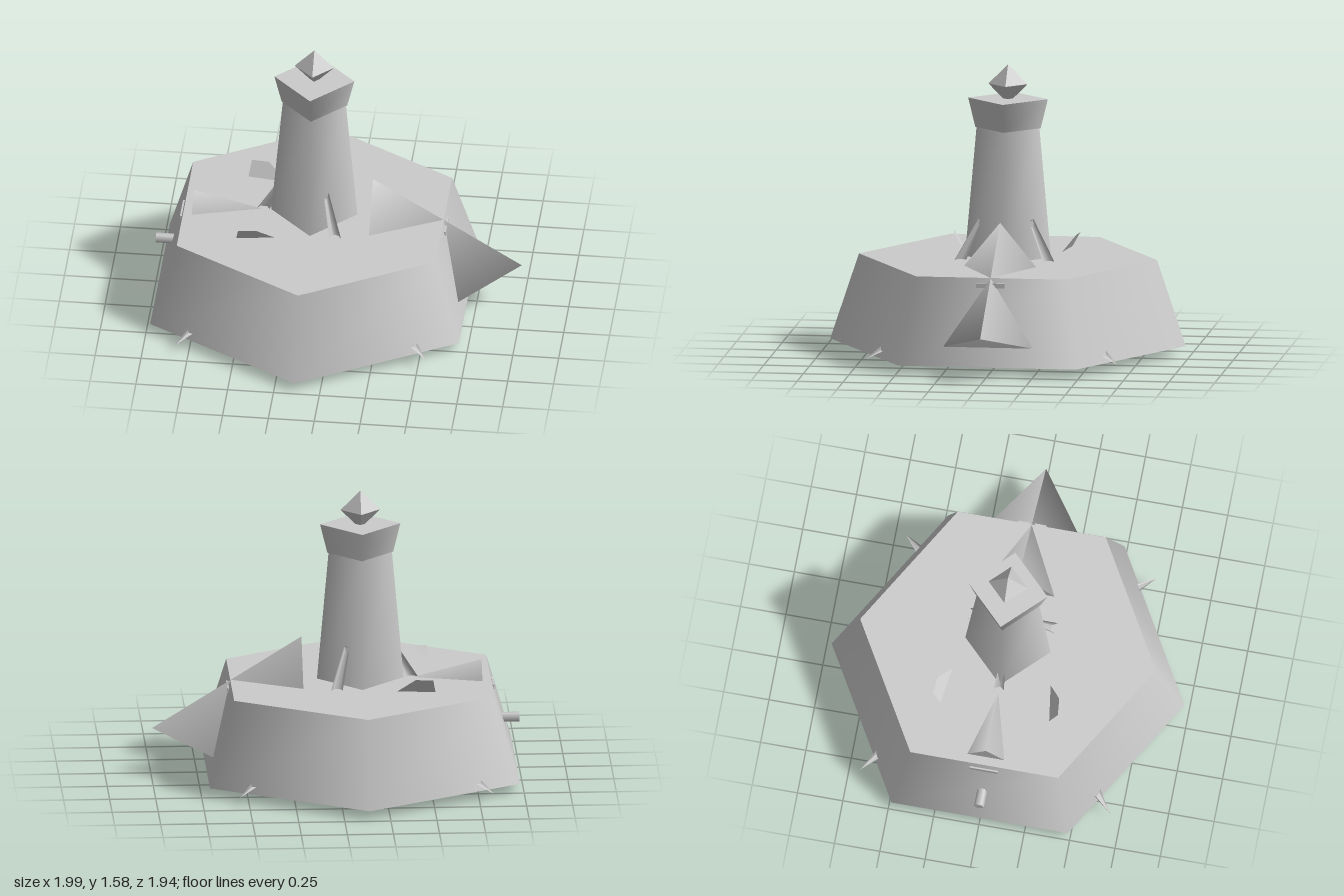
import * as THREE from 'three';

const CX = -0.137; // axis shared by the hull and the tower

export function createModel() {
  const group = new THREE.Group();
  const stone = new THREE.MeshStandardMaterial({ color: 0xcccccc });
  stone.name = 'paleStone';
  const stoneSheet = new THREE.MeshStandardMaterial({ color: 0xcccccc, side: THREE.DoubleSide });
  stoneSheet.name = 'paleStoneSheet';

  const add = (name, geometry, x = 0, y = 0, z = 0, material = stone) => {
    const mesh = new THREE.Mesh(geometry, material);
    mesh.name = name;
    mesh.position.set(x, y, z);
    group.add(mesh);
    return mesh;
  };

  // Tapered rod from point a (radius ra) to point b (radius rb)
  const rod = (name, a, b, ra, rb, sides, flatten = 1) => {
    const dir = b.clone().sub(a);
    const geometry = new THREE.CylinderGeometry(rb, ra, dir.length(), sides);
    const up = dir.clone().normalize();
    const side = new THREE.Vector3().crossVectors(new THREE.Vector3(0, 1, 0), up).normalize();
    const thick = new THREE.Vector3().crossVectors(side, up);
    geometry.scale(1, 1, flatten);
    geometry.applyMatrix4(new THREE.Matrix4().makeBasis(side, up, thick.negate().multiplyScalar(-1).negate()));
    const mid = a.clone().add(b).multiplyScalar(0.5);
    return add(name, geometry, mid.x, mid.y, mid.z);
  };
  const polar = (angle, r, y) =>
    new THREE.Vector3(CX + r * Math.cos(angle), y, r * Math.sin(angle));

  // Six-sided hull
  add('hull', new THREE.CylinderGeometry(0.815, 0.972, 0.47, 6), CX, 0.285, 0);

  // Four-sided tower with flared collar and crystal
  add('tower', new THREE.CylinderGeometry(0.172, 0.236, 0.72, 4), CX, 0.87, 0);
  add('collar', new THREE.CylinderGeometry(0.218, 0.179, 0.16, 4), CX, 1.31, 0);
  add('crystal', new THREE.OctahedronGeometry(0.107), CX, 1.47, 0);

  // Large three-sided prow with its tip at +x
  const prow = new THREE.ConeGeometry(0.505, 0.812, 3, 1, false, -Math.PI / 2);
  prow.rotateZ(-Math.PI / 2).scale(1, 1, 1.425);
  add('prow', prow, 0.588, 0.254, 0);

  // Low wedge behind the tower, tapering inwards
  const wedge = new THREE.ConeGeometry(0.195, 0.765, 4);
  wedge.rotateZ(-Math.PI / 2).scale(1, 1, 1.07);
  add('tailWedge', wedge, -0.413, 0.42, 0);

  // Three struts leaning on the tower
  for (const angle of [Math.PI / 3, Math.PI, -Math.PI / 3]) {
    rod('strut', polar(angle, 0.3, 0.48), polar(angle, 0.16, 0.735), 0.034, 0.015, 6);
  }

  // Four claws low on the hull
  for (let i = 0; i < 4; i++) {
    const angle = Math.PI / 4 + i * Math.PI / 2;
    rod('claw', polar(angle, 0.75, 0.145), polar(angle, 0.975, 0.055), 0.045, 0, 5, 0.6);
  }

  // Leaning deck fins, mirrored across z
  for (const s of [1, -1]) {
    const fin = new THREE.BufferGeometry();
    fin.setAttribute('position', new THREE.Float32BufferAttribute([
      -0.53, 0.52, s * 0.3, -0.325, 0.52, s * 0.27,
      -0.42, 0.6, s * 0.335, -0.515, 0.6, s * 0.345,
    ], 3));
    fin.setIndex(s > 0 ? [0, 1, 2, 0, 2, 3] : [0, 2, 1, 0, 3, 2]);
    fin.computeVertexNormals();
    add('deckFin', fin, 0, 0, 0, stoneSheet);
  }

  // Narrow slits on the two end faces
  for (const s of [1, -1]) {
    add('slit', new THREE.BoxGeometry(0.009, 0.025, 0.155), CX + s * 0.72, 0.48, 0);
  }

  // Hexagonal exhaust stub
  const stub = new THREE.CylinderGeometry(0.027, 0.027, 0.16, 6);
  stub.rotateZ(Math.PI / 2);
  add('exhaustStub', stub, -0.92, 0.288, 0);

  return group;
}
